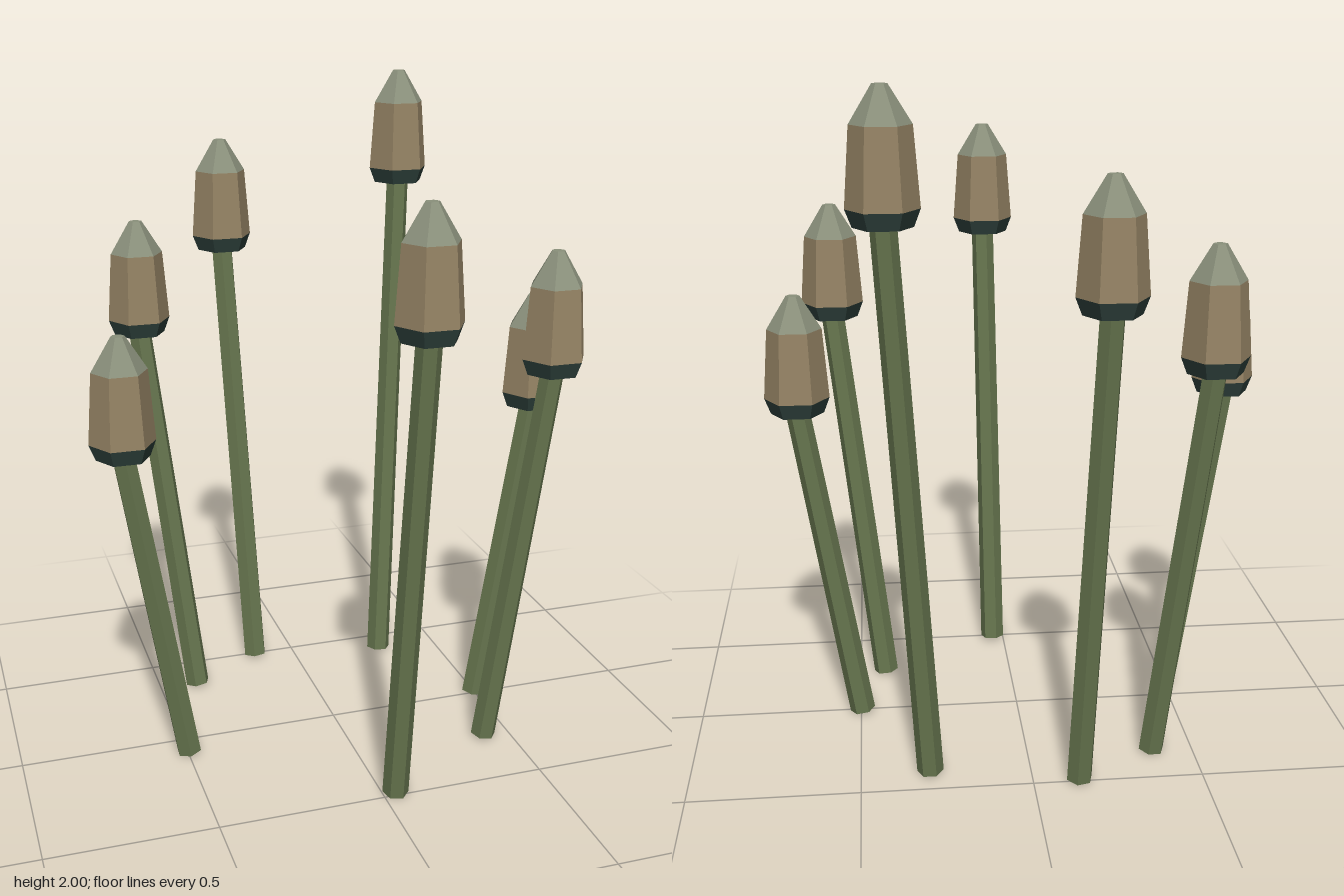
import * as THREE from 'three';

const material = (color) => new THREE.MeshStandardMaterial({ color, flatShading: true });

export function createModel() {
  const group = new THREE.Group();
  const stemMat = material(0x66754e);
  const collarMat = material(0x2f423d);
  const budMat = material(0x968465);
  const capMat = material(0x8b917c);

  // Six-sided ring section from y0 to y1, with corners on the x axis
  const section = (name, mat, y0, r0, y1, r1, open) => {
    const geo = new THREE.CylinderGeometry(r1, r0, y1 - y0, 6, 1, open);
    geo.rotateY(Math.PI / 6).translate(0, (y0 + y1) / 2, 0);
    const mesh = new THREE.Mesh(geo, mat);
    mesh.name = name;
    return mesh;
  };

  // Each stalk: head x, head base height, head z, stem twist in degrees
  const stalks = [
    [0.66, 1.0, -0.01, 0],
    [0.555, 1.213, 0.345, 8],
    [0.05, 1.428, 0.65, 13],
    [-0.66, 1.0, 0.1, 33],
    [-0.5, 1.213, -0.46, 50],
    [-0.18, 1.428, -0.655, 45],
    [0.395, 1.642, -0.54, 5],
  ];
  const up = new THREE.Vector3(0, 1, 0);

  for (const [x, y, z, twist] of stalks) {
    const stalk = new THREE.Group();
    stalk.name = 'stalk';

    // Stem leans outward from its foot to the head
    const foot = new THREE.Vector3(x * 0.75, 0.006, z * 0.75);
    const lean = new THREE.Vector3(x, y + 0.005, z).sub(foot);
    const stem = section('stem', stemMat, 0, 0.039, lean.length(), 0.036, false);
    stem.geometry.rotateY(-THREE.MathUtils.degToRad(twist));
    stem.position.copy(foot);
    stem.quaternion.setFromUnitVectors(up, lean.normalize());

    // Upright head: dark collar, tan bud, pale pointed cap
    const head = new THREE.Group();
    head.name = 'head';
    head.position.set(x, y, z);
    head.add(
      section('collar', collarMat, 0, 0.079, 0.047, 0.097, false),
      section('bud', budMat, 0.047, 0.097, 0.258, 0.081, true),
      section('cap', capMat, 0.258, 0.081, 0.358, 0.02, false),
    );

    stalk.add(stem, head);
    group.add(stalk);
  }
  return group;
}
